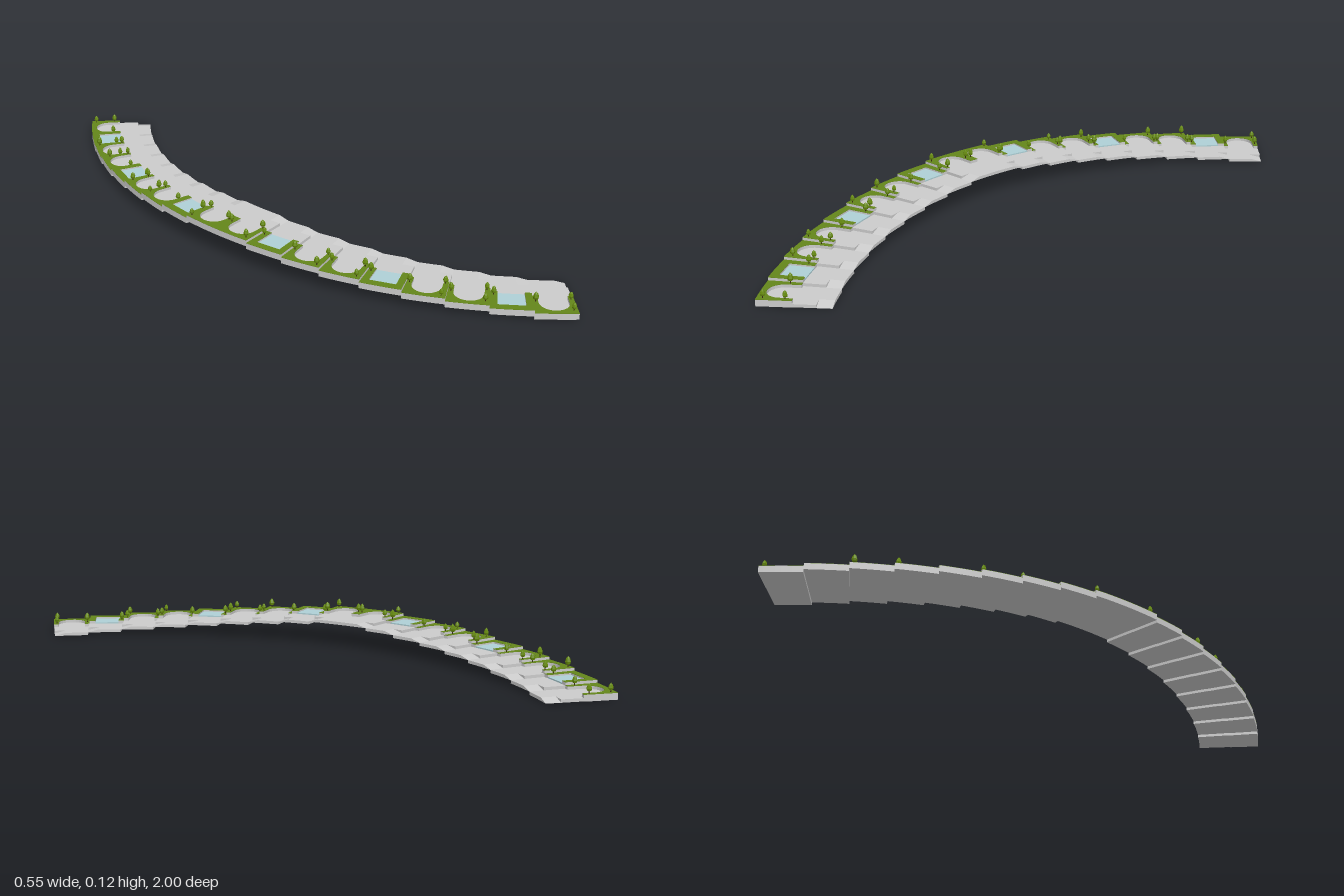
import * as THREE from 'three';

const CX = 1.173, R_IN = 1.245, R_RAMP = 1.288, R_BED = 1.352, R_OUT = 1.449;
const STEP = THREE.MathUtils.degToRad(43.65) / 9; // angle of one terrace
const RISE = 0.0087, FLOOR = 0.0098, BED = 0.0195;

const mat = (color, flatShading = false) => new THREE.MeshStandardMaterial({ color, flatShading });
const stone = mat(0xcccccc), grass = mat(0x64861a), water = mat(0xaed0d6);
const leaf = mat(0x668a0c, true), bark = mat(0x3a2a14, true);

let seed = 7;
const rand = () => (seed = (seed * 16807) % 2147483647) / 2147483647;

// Plan point (x, -z) at radius r and angle a; s picks the +z or -z half
const plan = (r, a, s) => new THREE.Vector2(CX - r * Math.cos(a), -s * r * Math.sin(a));

function arc(r, a0, a1, s, n = 8) {
  const pts = [];
  for (let i = 0; i <= n; i++) pts.push(plan(r, a0 + (a1 - a0) * i / n, s));
  return pts;
}

// Upright slab from a plan outline
function slab(name, pts, y0, y1, material) {
  const geo = new THREE.ExtrudeGeometry(new THREE.Shape(pts), { depth: y1 - y0, bevelEnabled: false });
  geo.rotateX(-Math.PI / 2).translate(0, y0, 0);
  const mesh = new THREE.Mesh(geo, material);
  mesh.name = name;
  return mesh;
}

const sector = (r0, r1, a0, a1, s) => [...arc(r0, a0, a1, s), ...arc(r1, a1, a0, s)];

// Ramp: a sector whose top falls by one rise towards its lower end
function ramp(a0, a1, s, level) {
  const top = level + FLOOR;
  const mesh = slab('ramp', sector(R_IN, R_RAMP, a0, a1, s), level + 0.0008, top, stone);
  const p = mesh.geometry.attributes.position;
  for (let i = 0; i < p.count; i++) {
    if (p.getY(i) < top - 0.001) continue;
    const a = Math.atan2(Math.abs(p.getZ(i)), CX - p.getX(i));
    p.setY(i, top - RISE * (a - a0) / (a1 - a0));
  }
  mesh.geometry.computeVertexNormals();
  return mesh;
}

// Opening in the planting bed: round for a seating bay, square for a pool
function opening(am, s, isPool) {
  if (isPool) {
    const h = 0.039 / 1.39;
    return [...arc(R_BED, am - h, am - h, s, 0.5), plan(1.425, am - h, s),
      plan(1.425, am + h, s), plan(R_BED, am + h, s)].filter((v) => !isNaN(v.x));
  }
  const rc = 1.39, rad = 0.043, pts = [plan(R_BED, am - rad / R_BED, s)];
  for (let i = 0; i <= 12; i++) {
    const t = Math.PI * i / 12;
    pts.push(plan(rc + rad * Math.sin(t), am - rad * Math.cos(t) / rc, s));
  }
  pts.push(plan(R_BED, am + rad / R_BED, s));
  return pts;
}

const crown = new THREE.LatheGeometry(
  [[0, 0.005], [0.0068, 0.008], [0.0085, 0.014], [0.0055, 0.023], [0, 0.029]]
    .map(([x, y]) => new THREE.Vector2(x, y)), 6);
const trunk = new THREE.CylinderGeometry(0.0012, 0.0018, 0.009, 5).translate(0, 0.0045, 0);

function tree(r, a, s, y) {
  const g = new THREE.Group();
  g.name = 'tree';
  const top = new THREE.Mesh(crown, leaf), stem = new THREE.Mesh(trunk, bark);
  top.name = 'treeCrown';
  stem.name = 'treeTrunk';
  g.add(top, stem);
  const p = plan(r, a, s), k = 0.8 + rand() * 0.25;
  g.position.set(p.x, y, -p.y);
  g.rotation.y = rand() * 6;
  g.scale.set(k, k * (0.9 + rand() * 0.2), k);
  return g;
}

// One terrace; index 0 is the highest, 8 the lowest
function terrace(index, s) {
  const g = new THREE.Group();
  g.name = 'terrace';
  const a0 = index * STEP, a1 = a0 + STEP, am = a0 + STEP / 2, aRamp = a0 + STEP * 0.68;
  const y = (8 - index) * RISE, isPool = index % 3 === 1;

  // Base and walkway
  g.add(slab('base', sector(R_BED, R_OUT, a0, a1, s), y, y + FLOOR, stone));
  g.add(slab('walkway', sector(R_RAMP, R_BED, a0, a1, s), y + 0.0008, y + FLOOR, stone));
  g.add(slab('innerWalkway', sector(R_IN, R_RAMP, a0, aRamp, s), y + 0.0008, y + FLOOR, stone));
  g.add(ramp(aRamp, a1, s, y));

  // Planting bed with its bay or pool
  const bed = [plan(R_BED, a0, s), ...opening(am, s, isPool), plan(R_BED, a1, s), ...arc(R_OUT, a1, a0, s)];
  g.add(slab('planterWall', bed, y + FLOOR, y + BED - 0.001, stone));
  g.add(slab('planting', bed, y + BED - 0.001, y + BED, grass));
  if (isPool) {
    const h = 0.039 / 1.39;
    g.add(slab('pool', sector(R_BED, 1.425, am - h, am + h, s), y + FLOOR, y + FLOOR + 0.004, water));
  }

  // Trees on the tabs beside the opening
  const spots = isPool ? [[1.37, -0.42]] : [[1.365, 0.42], [1.43, 0.4], [1.38, -0.43]];
  for (const [r, t] of spots) {
    g.add(tree(r + (rand() - 0.5) * 0.014, am + t * STEP, s, y + BED));
  }
  return g;
}

export function createModel() {
  const model = new THREE.Group();
  model.name = 'terracedPromenade';
  for (const s of [1, -1]) {
    for (let i = 0; i < 9; i++) model.add(terrace(i, s));
  }
  return model;
}
